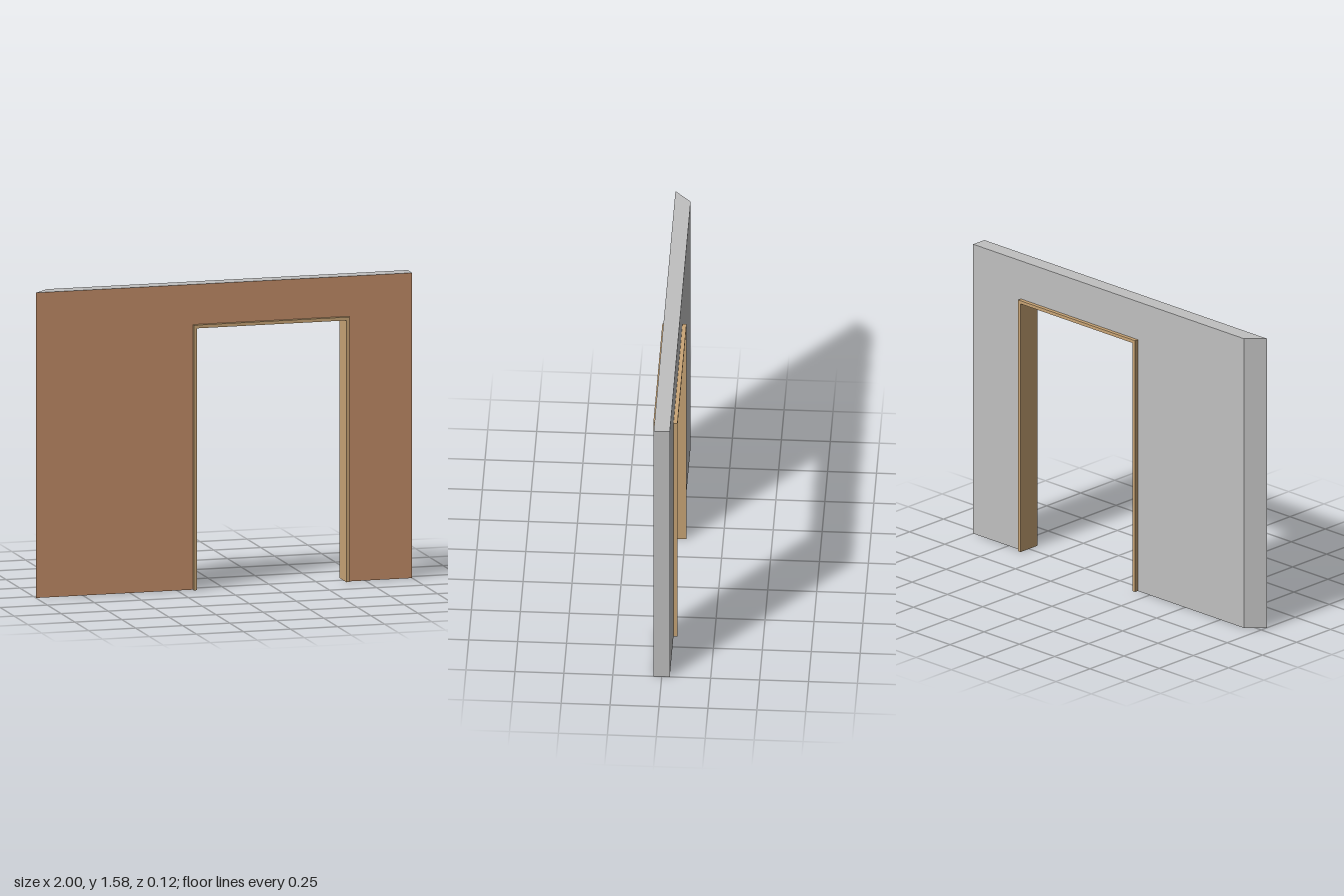
import * as THREE from 'three';

export function createModel() {
  const model = new THREE.Group();
  model.name = 'wallWithDoorway';

  const mat = (name, color) => {
    const m = new THREE.MeshStandardMaterial({ color });
    m.name = name;
    return m;
  };
  const brown = mat('brown facing', 0xc18c67);
  const grey = mat('grey plaster', 0xc0c0c0);
  const tan = mat('tan wood', 0xc9a576);

  const height = 1.583, halfWall = 0.041, mitre = 0.083;
  const left = -0.166, right = 0.662, top = 1.375; // outside of the door frame
  const board = 0.017, frameDepth = 0.123;

  // Wall: outline with a doorway notch, extruded through its thickness
  const outline = new THREE.Shape([
    [-1, 0], [left, 0], [left, top], [right, top], [right, 0], [1, 0], [1, height], [-1, height],
  ].map(([x, y]) => new THREE.Vector2(x, y)));
  const wallGeo = new THREE.ExtrudeGeometry(outline, { depth: 2 * halfWall, bevelEnabled: false });
  wallGeo.translate(0, 0, -halfWall);

  // Mitred end: pull the rear edge inwards
  const pos = wallGeo.attributes.position;
  for (let i = 0; i < pos.count; i++) {
    if (pos.getX(i) < -0.99 && pos.getZ(i) < 0) pos.setX(i, -1 + mitre);
  }
  wallGeo.computeVertexNormals();

  // Rear cap and edges are grey, front cap is brown
  const [caps, edges] = wallGeo.groups.map((g) => ({ ...g }));
  wallGeo.clearGroups();
  wallGeo.addGroup(0, caps.count / 2, 0);
  wallGeo.addGroup(caps.count / 2, caps.count / 2, 1);
  wallGeo.addGroup(edges.start, edges.count, 0);
  const wall = new THREE.Mesh(wallGeo, [grey, brown]);
  wall.name = 'wall';
  model.add(wall);

  // Door frame boards: tan, with grey undersides
  const frame = new THREE.Group();
  frame.name = 'doorFrame';
  const addBoard = (name, x0, x1, y0, y1) => {
    const mesh = new THREE.Mesh(
      new THREE.BoxGeometry(x1 - x0, y1 - y0, frameDepth),
      [tan, tan, tan, grey, tan, tan],
    );
    mesh.position.set((x0 + x1) / 2, (y0 + y1) / 2, 0);
    mesh.name = name;
    frame.add(mesh);
  };
  addBoard('rightJamb', left, left + board, 0, top);
  addBoard('leftJamb', right - board, right, 0, top);
  addBoard('lintel', left + board, right - board, top - board, top);
  model.add(frame);

  return model;
}
